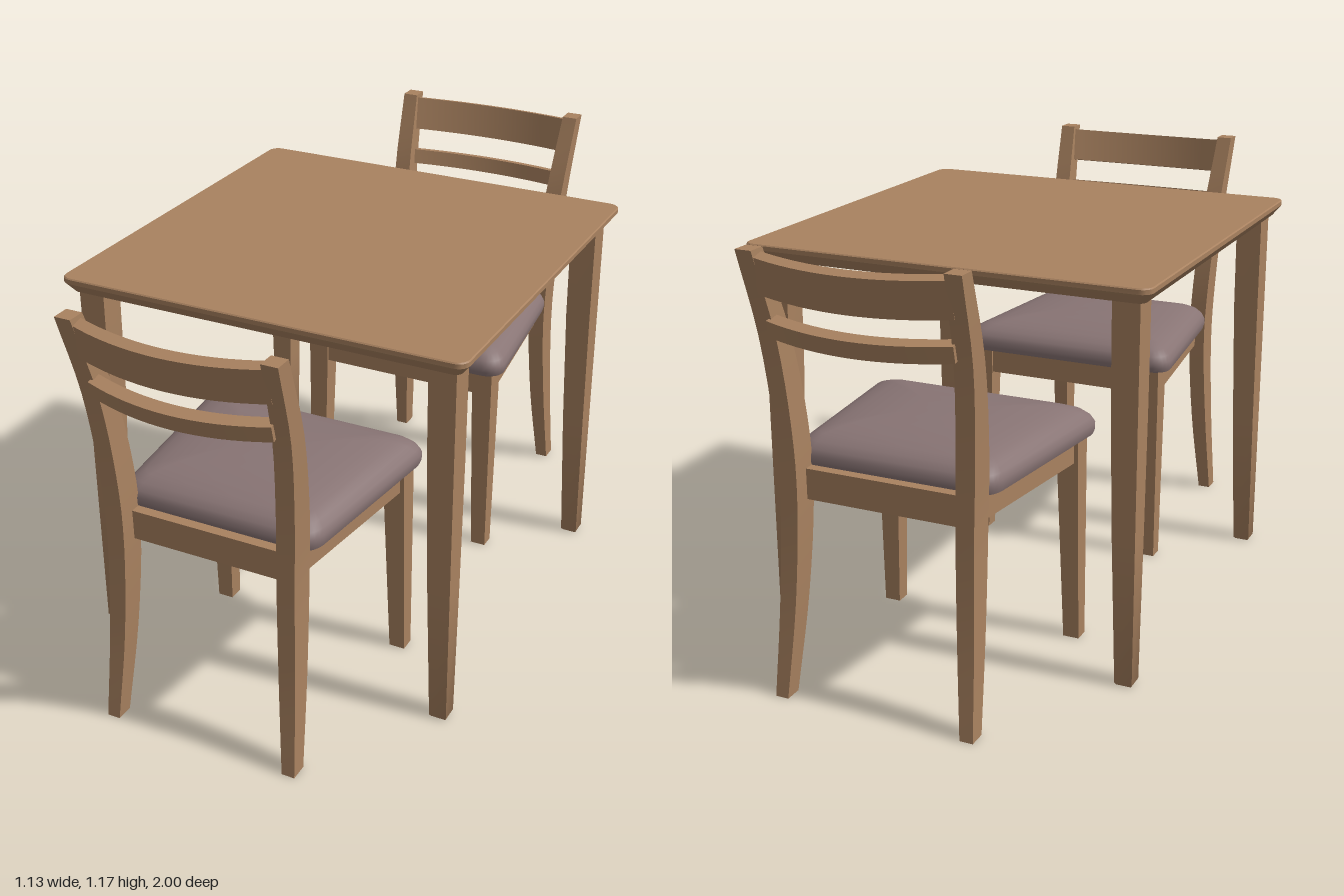
import * as THREE from 'three';
import { toCreasedNormals } from 'three/addons/utils/BufferGeometryUtils.js';

const wood = new THREE.MeshStandardMaterial({ color: 0xa98260 });
wood.name = 'warm wood';
const fabric = new THREE.MeshStandardMaterial({ color: 0x887474 });
fabric.name = 'mauve upholstery';

// Skins a stack of equal-length rings (counter-clockwise seen from the end) and caps both ends.
function loft(rings, crease = 0.6) {
  const n = rings[0].length;
  const pos = rings.flat(2);
  const index = [];
  for (let i = 0; i < rings.length - 1; i++) {
    for (let j = 0; j < n; j++) {
      const k = (j + 1) % n;
      const a = i * n + j, b = i * n + k, c = b + n, d = a + n;
      index.push(a, b, c, a, c, d);
    }
  }
  const last = (rings.length - 1) * n;
  for (let j = 1; j < n - 1; j++) {
    index.push(0, j + 1, j);
    index.push(last, last + j, last + j + 1);
  }
  const geo = new THREE.BufferGeometry();
  geo.setAttribute('position', new THREE.Float32BufferAttribute(pos, 3));
  geo.setIndex(index);
  return toCreasedNormals(geo, crease);
}

function part(group, name, geometry, material = wood) {
  const mesh = new THREE.Mesh(geometry, material);
  mesh.name = name;
  group.add(mesh);
  return mesh;
}

// Horizontal rectangular ring; corners may be given in any order.
function rectRing(xa, xb, za, zb, y) {
  const x0 = Math.min(xa, xb), x1 = Math.max(xa, xb);
  const z0 = Math.min(za, zb), z1 = Math.max(za, zb);
  return [[x1, y, z1], [x1, y, z0], [x0, y, z0], [x0, y, z1]];
}

// Horizontal rounded rectangle centred on the origin.
function roundRing(hx, hz, r, y, seg) {
  const ring = [];
  const corners = [[1, -1], [-1, -1], [-1, 1], [1, 1]];
  corners.forEach(([sx, sz], q) => {
    for (let i = 0; i <= seg; i++) {
      const a = (q + i / seg) * Math.PI / 2;
      ring.push([sx * (hx - r) + r * Math.cos(a), y, sz * (hz - r) - r * Math.sin(a)]);
    }
  });
  return ring;
}

function createTable() {
  const table = new THREE.Group();
  table.name = 'table';
  // Top with a bevelled underside
  part(table, 'tableTop', loft([
    roundRing(0.543, 0.543, 0.02, 1.027, 5),
    roundRing(0.565, 0.565, 0.03, 1.055, 5),
    roundRing(0.565, 0.565, 0.03, 1.067, 5),
    roundRing(0.562, 0.562, 0.028, 1.07, 5),
  ]));
  // Legs tapering on their inner faces: [y, outer, inner]
  const profile = [[0, 0.526, 0.486], [0.006, 0.53, 0.482], [0.4, 0.53, 0.468],
    [0.75, 0.53, 0.459], [1.03, 0.53, 0.457]];
  for (const sx of [-1, 1]) {
    for (const sz of [-1, 1]) {
      part(table, 'tableLeg', loft(profile.map(([y, o, i]) =>
        rectRing(sx * o, sx * i, sz * o, sz * i, y))));
    }
  }
  return table;
}

// Bowed rail: the section is [y, z] at the middle, the ends curve forward.
function bowedRail(section, half, bow) {
  const rings = [];
  for (let i = 0; i <= 16; i++) {
    const u = i / 8 - 1;
    rings.push(section.map(([y, z]) => [u * half, y + 0.008 * u * u, z - bow * u * u]));
  }
  return loft(rings);
}

// Chair with its backrest towards +z
function createChair() {
  const chair = new THREE.Group();
  chair.name = 'chair';

  // Curved back legs running up into the backrest
  const inner = [[0.243, 0, 0.872], [0.225, 0.26, 0.827], [0.217, 0.52, 0.798],
    [0.222, 0.72, 0.802], [0.234, 0.95, 0.842], [0.247, 1.175, 0.92]];
  const outer = [[0.279, 0, 0.92], [0.271, 0.26, 0.89], [0.266, 0.52, 0.874],
    [0.272, 0.72, 0.876], [0.283, 0.95, 0.903], [0.291, 1.175, 0.968]];
  const curve = (pts) => new THREE.CatmullRomCurve3(
    pts.map((p) => new THREE.Vector3(...p)), false, 'catmullrom');
  const inCurve = curve(inner), outCurve = curve(outer);
  for (const s of [-1, 1]) {
    const rings = [];
    for (let i = 0; i <= 20; i++) {
      const a = inCurve.getPoint(i / 20), b = outCurve.getPoint(i / 20);
      rings.push(rectRing(s * a.x, s * b.x, a.z, b.z, a.y));
    }
    part(chair, 'backLeg', loft(rings));
    // Straight front legs with a slight taper
    part(chair, 'frontLeg', loft([
      rectRing(s * 0.3, s * 0.255, 0.272, 0.315, 0),
      rectRing(s * 0.3, s * 0.24, 0.272, 0.332, 0.52),
      rectRing(s * 0.3, s * 0.24, 0.272, 0.332, 0.592),
    ]));
  }

  // Seat frame, narrower at the back
  const frame = (y) => [[0.232, y, 0.828], [0.295, y, 0.278], [-0.295, y, 0.278], [-0.232, y, 0.828]];
  part(chair, 'seatFrame', loft([frame(0.517), frame(0.598)]));

  // Domed cushion: [scale inset, y], widened towards the front
  const dome = [[0.02, 0.588], [0.004, 0.592], [0, 0.605], [0, 0.622], [0.008, 0.638], [0.024, 0.653],
    [0.05, 0.665], [0.085, 0.674], [0.13, 0.681], [0.18, 0.686], [0.23, 0.689], [0.272, 0.69]];
  part(chair, 'cushion', loft(dome.map(([inset, y]) =>
    roundRing(0.305 - inset, 0.277 - inset, Math.max(0.055 - inset * 0.2, 0.004) * (1 - inset / 0.28), y, 6)
      .map(([x, h, z]) => [x * (1 - z * 0.36), h, z + 0.525])), 0.8), fabric);

  // Backrest rails, leaning with the legs
  part(chair, 'topRail', bowedRail(
    [[1.055, 0.977], [1.063, 0.943], [1.158, 0.968], [1.15, 1.0]], 0.255, 0.042));
  part(chair, 'lowerRail', bowedRail(
    [[0.947, 0.957], [0.955, 0.92], [0.998, 0.93], [0.99, 0.967]], 0.245, 0.042));
  return chair;
}

export function createModel() {
  const model = new THREE.Group();
  model.name = 'diningSet';
  const table = createTable();
  table.position.z = 0.02;
  const nearChair = createChair();
  const farChair = createChair();
  farChair.rotation.y = Math.PI;
  model.add(table, nearChair, farChair);
  return model;
}
